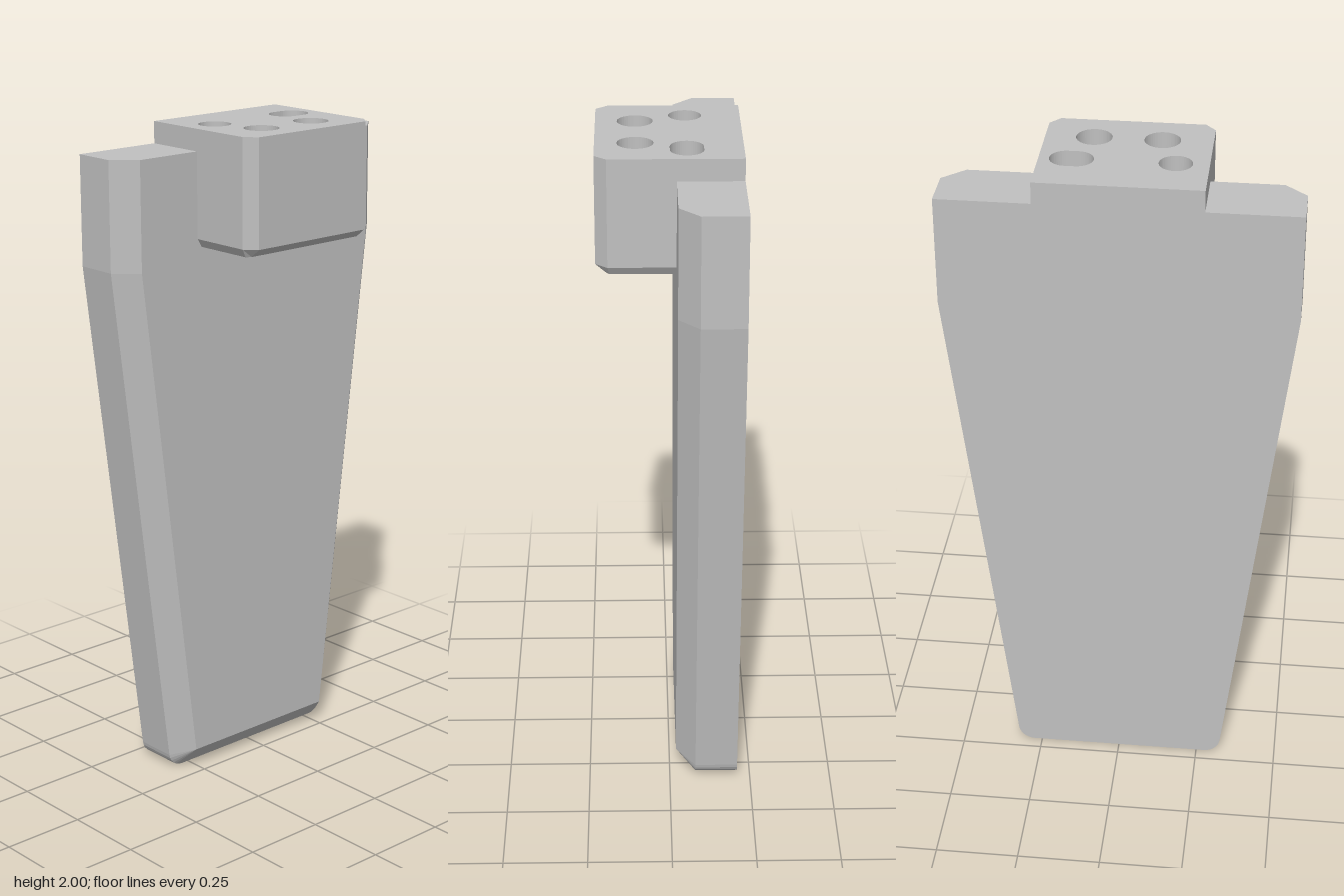
import * as THREE from 'three';

const grey = new THREE.MeshStandardMaterial({ color: 0xc0c0c0 });
grey.name = 'plain grey';

// Move every vertex by a rule, then refresh the flat normals
function reshape(geo, rule) {
  const p = geo.attributes.position;
  const v = new THREE.Vector3();
  for (let i = 0; i < p.count; i++) {
    rule(v.fromBufferAttribute(p, i));
    p.setXYZ(i, v.x, v.y, v.z);
  }
  geo.computeVertexNormals();
  return geo;
}

function polygon(points) {
  return new THREE.Shape(points.map(([x, y]) => new THREE.Vector2(x, y)));
}

// Hole at model position x, z; stretch turns the circle into a slot along z
function hole(x, z, r, stretch = 0) {
  const path = new THREE.Path();
  path.absarc(x, -z + stretch, r, 0, Math.PI, false);
  path.absarc(x, -z - stretch, r, Math.PI, Math.PI * 2, false);
  path.closePath();
  return path;
}

function add(group, name, geo) {
  const mesh = new THREE.Mesh(geo, grey);
  mesh.name = name;
  group.add(mesh);
}

// Extrude a plan (x, -z) upwards from y0 to y1
function upright(shape, y0, y1) {
  const geo = new THREE.ExtrudeGeometry(shape, { depth: y1 - y0, bevelEnabled: false, curveSegments: 12 });
  return geo.rotateX(-Math.PI / 2).translate(0, y0, 0);
}

export function createModel() {
  const model = new THREE.Group();
  model.name = 'taperedPaddle';
  const seatY = 1.68, topY = 1.935, halfBlock = 0.24;

  // Tapered plate: half outline with a rounded foot, notched at the top for the block
  const half = [];
  for (let i = 0; i <= 6; i++) {
    const a = (i / 6) * 1.45;
    half.push([0.275 + 0.05 * Math.sin(a), 0.05 - 0.05 * Math.cos(a)]);
  }
  half.push([0.515, 1.61], [0.515, topY], [halfBlock, topY], [halfBlock, seatY]);
  const outline = polygon([...half, ...half.map(([z, y]) => [-z, y]).reverse()]);
  const plate = new THREE.ExtrudeGeometry(outline, { depth: 2, steps: 2, bevelEnabled: false });
  const layers = [-0.21, -0.08, -0.02];
  reshape(plate, (v) => {
    const layer = Math.round(v.z);
    v.z = layers[layer];
    if (layer < 2) return;
    // The front layer is drawn in to make the chamfer
    const side = Math.sign(v.x);
    if (v.y < 0.1) { v.x = side * 0.265; v.y = 0.065; }
    else if (Math.abs(v.x) > 0.4) v.x = side * 0.45;
  });
  add(model, 'taperedPlate', plate.rotateY(Math.PI / 2));

  // Mounting block with two through holes, a blind hole and a blind slot
  const throughHoles = () => [hole(0.095, -0.1, 0.052), hole(0.095, 0.095, 0.052)];
  const plan = (x0) => polygon([
    [x0, -halfBlock], [0.175, -halfBlock], [0.21, -0.21],
    [0.21, 0.21], [0.175, halfBlock], [x0, halfBlock],
  ]);
  const blockPlan = plan(-0.21);
  blockPlan.holes.push(...throughHoles(), hole(-0.05, 0.145, 0.048), hole(-0.05, -0.147, 0.048, 0.015));
  add(model, 'mountingBlock', upright(blockPlan, seatY, 2));

  // Chamfered underside of the block
  const basePlan = plan(-0.02);
  basePlan.holes.push(...throughHoles());
  const base = reshape(upright(basePlan, 1.655, seatY), (v) => {
    if (v.y > 1.67) return;
    if (v.x > 0.2) v.x = 0.18;
    else if (v.x > 0.17 && Math.abs(v.z) > 0.22) v.x = 0.17;
    if (Math.abs(v.z) > 0.22) v.z = Math.sign(v.z) * 0.225;
  });
  add(model, 'blockUnderside', base);

  return model;
}
